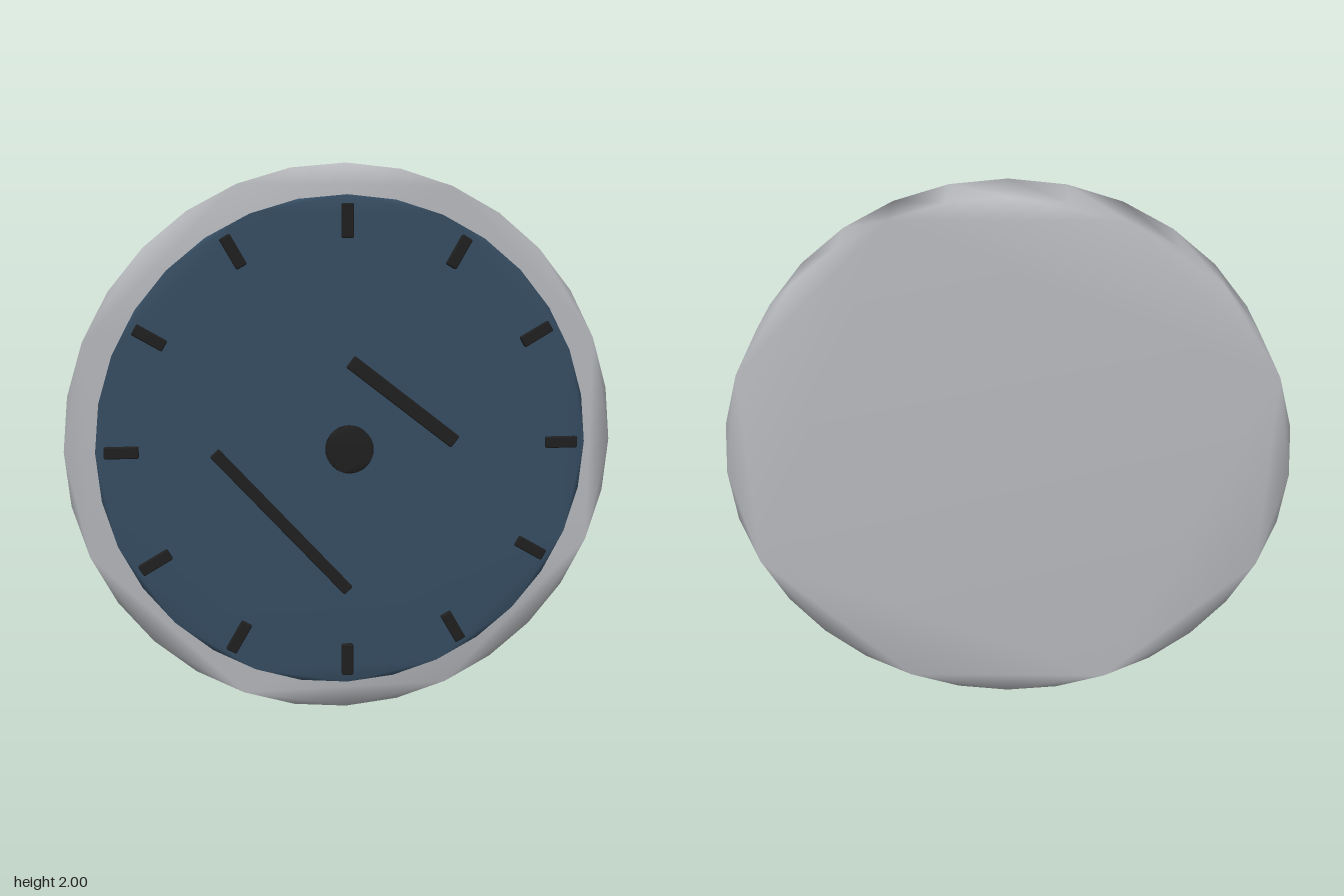
import * as THREE from 'three';
import { mergeVertices } from 'three/addons/utils/BufferGeometryUtils.js';
import { RoundedBoxGeometry } from 'three/addons/geometries/RoundedBoxGeometry.js';

const mat = (name, color) => Object.assign(new THREE.MeshStandardMaterial({ color }), { name });

// 32-sided disc facing +z, with normals blended across the rim
function discGeometry(radius, depth, sides = 32) {
  const points = [];
  for (let i = 0; i < sides; i++) {
    const a = (i / sides) * Math.PI * 2;
    points.push(new THREE.Vector2(Math.cos(a) * radius, Math.sin(a) * radius));
  }
  let g = new THREE.ExtrudeGeometry(new THREE.Shape(points), { depth, bevelEnabled: false });
  g.deleteAttribute('normal');
  g.deleteAttribute('uv');
  g = mergeVertices(g, 1e-4);
  g.computeVertexNormals();
  return g;
}

export function createModel() {
  const group = new THREE.Group();
  group.name = 'wallClock';
  const casing = mat('casingGrey', 0xb6b8bc);
  const blue = mat('dialBlue', 0x364d62);
  const black = mat('markingBlack', 0x202020);

  const add = (name, geometry, material, x, y, z, angle = 0) => {
    const mesh = new THREE.Mesh(geometry, material);
    mesh.name = name;
    mesh.position.set(x, y, z);
    mesh.rotation.z = angle;
    group.add(mesh);
  };

  // Casing, dial and centre cap
  add('casing', discGeometry(1, 0.214), casing, 0, 1, -0.157);
  add('dial', discGeometry(0.89, 0.029), blue, 0, 1, 0.064);
  add('centreCap', discGeometry(0.085, 0.03), black, 0, 1, 0.127);

  // Twelve hour marks
  const markGeometry = new RoundedBoxGeometry(0.12, 0.042, 0.024, 1, 0.005);
  for (let i = 0; i < 12; i++) {
    const a = (i * Math.PI) / 6;
    add('hourMark' + (i + 1), markGeometry, black, Math.cos(a) * 0.8, 1 + Math.sin(a) * 0.8, 0.097, a);
  }

  // Hands, each a thin bar between two points
  const addHand = (name, x1, y1, x2, y2, width, z) => {
    const length = Math.hypot(x2 - x1, y2 - y1);
    add(name, new RoundedBoxGeometry(length, width, 0.018, 1, 0.005), black,
      (x1 + x2) / 2, (y1 + y2) / 2, z, Math.atan2(y2 - y1, x2 - x1));
  };
  addHand('hourHand', 0.008, 1.31, 0.393, 1.012, 0.052, 0.113);
  addHand('minuteHand', -0.478, 0.995, 0.0, 0.472, 0.042, 0.121);

  return group;
}
